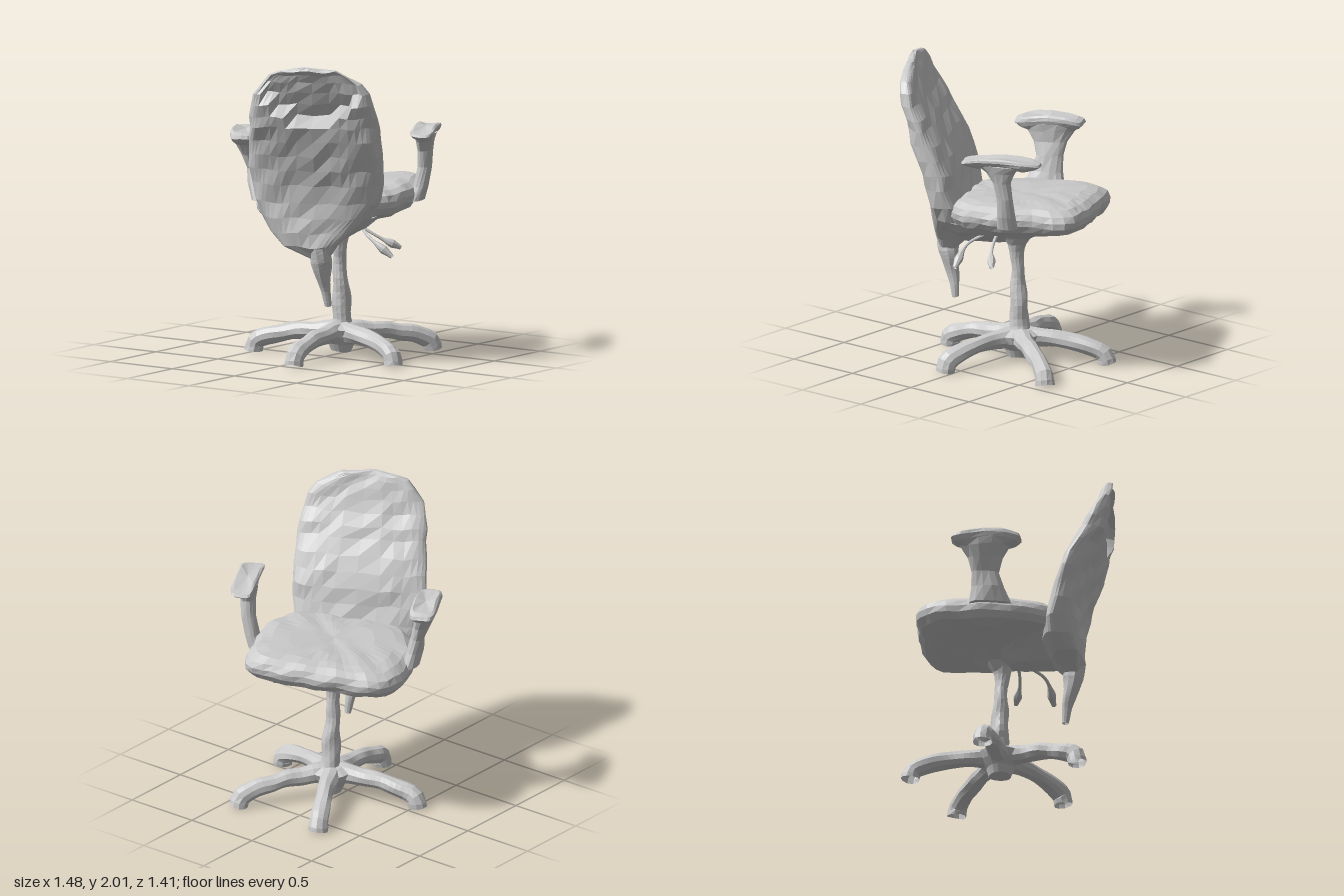
import * as THREE from 'three';

const mat = new THREE.MeshStandardMaterial({ color: 0xcccccc, flatShading: true, side: THREE.DoubleSide });
const V = (x, y, z) => new THREE.Vector3(x, y, z);
const { lerp } = THREE.MathUtils;
// The chair is swivelled: f runs forward and u across the chair
const place = (f, u, y) => V(0.88 * f + 0.47 * u, y, -0.47 * f + 0.88 * u);
const power = (v, e) => Math.sign(v) * Math.abs(v) ** e;

// Slight unevenness of the surfaces
function roughen(geo, amount) {
  const p = geo.attributes.position;
  for (let i = 0; i < p.count; i++) {
    const x = p.getX(i), y = p.getY(i), z = p.getZ(i);
    if (y < 0.01) continue;
    p.setXYZ(i, x + amount * Math.sin(31 * y + 23 * z), y + amount * Math.sin(27 * x + 19 * z), z + amount * Math.sin(29 * x + 25 * y));
  }
  geo.computeVertexNormals();
  return geo;
}

function add(group, name, geo, amount = 0.004) {
  const mesh = new THREE.Mesh(roughen(geo, amount), mat);
  mesh.name = name;
  group.add(mesh);
}

// Skin over closed rings listed from bottom to top, capped at both ends
function loft(rings) {
  const n = rings[0].length, pos = [], idx = [];
  rings.forEach(r => r.forEach(p => pos.push(p.x, p.y, p.z)));
  for (let i = 0; i < rings.length - 1; i++) {
    for (let j = 0; j < n; j++) {
      const a = i * n + j, b = i * n + (j + 1) % n;
      idx.push(a, a + n, b, b, a + n, b + n);
    }
  }
  [0, rings.length - 1].forEach(i => {
    const c = rings[i].reduce((s, p) => s.add(p), V(0, 0, 0)).divideScalar(n);
    const k = pos.length / 3;
    pos.push(c.x, c.y, c.z);
    for (let j = 0; j < n; j++) {
      const a = i * n + j, b = i * n + (j + 1) % n;
      if (i) idx.push(a, k, b); else idx.push(a, b, k);
    }
  });
  const geo = new THREE.BufferGeometry();
  geo.setAttribute('position', new THREE.Float32BufferAttribute(pos, 3));
  geo.setIndex(idx);
  return geo;
}

// Rounded ring: calls at(c, s) around a superellipse
const ring = (n, e, at) => Array.from({ length: n }, (_, j) => {
  const t = j / n * Math.PI * 2;
  return at(power(Math.cos(t), e), power(Math.sin(t), e));
});

// Tube along a path whose radius follows a list
function limb(points, radii, sides = 10, steps = 16) {
  const curve = new THREE.CatmullRomCurve3(points);
  const geo = new THREE.TubeGeometry(curve, steps, 1, sides);
  const p = geo.attributes.position, v = V(0, 0, 0);
  for (let i = 0; i <= steps; i++) {
    const c = curve.getPointAt(i / steps);
    const t = i / steps * (radii.length - 1), k = Math.min(Math.floor(t), radii.length - 2);
    const r = lerp(radii[k], radii[k + 1], t - k);
    for (let j = 0; j <= sides; j++) {
      const q = i * (sides + 1) + j;
      v.fromBufferAttribute(p, q).sub(c).multiplyScalar(r).add(c);
      p.setXYZ(q, v.x, Math.max(0, v.y), v.z);
    }
  }
  return geo;
}

function backrest() {
  // Each row: y, rear f, front f, rear half width, front half width, shift along u
  const keys = [
    [0.72, -0.45, -0.35, 0.07, 0.07, 0.02], [0.79, -0.48, -0.27, 0.18, 0.17, -0.04], [0.88, -0.48, -0.2, 0.26, 0.28, -0.04],
    [0.98, -0.48, -0.2, 0.32, 0.4, -0.01], [1.08, -0.48, -0.24, 0.35, 0.46, 0], [1.2, -0.5, -0.28, 0.37, 0.48, 0],
    [1.3, -0.53, -0.3, 0.37, 0.49, 0], [1.4, -0.56, -0.34, 0.38, 0.49, 0], [1.5, -0.595, -0.39, 0.38, 0.48, 0],
    [1.6, -0.63, -0.45, 0.38, 0.46, 0], [1.67, -0.65, -0.48, 0.38, 0.45, 0], [1.75, -0.67, -0.53, 0.37, 0.43, 0],
    [1.83, -0.685, -0.565, 0.36, 0.4, 0], [1.9, -0.69, -0.59, 0.32, 0.35, 0], [1.95, -0.685, -0.61, 0.26, 0.27, -0.01],
    [1.98, -0.675, -0.62, 0.19, 0.19, -0.02], [2.0, -0.66, -0.63, 0.1, 0.1, -0.02]];
  return loft(keys.map(([y, rear, front, wr, wf, shift]) => ring(36, 0.7, (c, s) => {
    const k = ((c < 0 ? power(c, 0.65) : c) + 1) / 2; // flatter rear than front
    const u = s * lerp(wr, wf, k) + shift;
    const hollow = y > 1.62 + 0.3 * s * s && y < 1.96 && c < -0.5; // open hollow in the upper rear
    const twist = y < 1.6 ? 0.07 * u * (1 - k) : 0;
    return place(hollow ? front - 0.03 : lerp(rear, front, k) - twist, u, y);
  })));
}

function seat() {
  const outline = new THREE.CatmullRomCurve3([
    [0.73, 0.22], [0.69, 0.31], [0.52, 0.39], [0.3, 0.5], [0.1, 0.54], [-0.1, 0.49], [-0.26, 0.22], [-0.39, -0.15],
    [-0.2, -0.41], [0, -0.52], [0.25, -0.595], [0.38, -0.55], [0.55, -0.25], [0.68, 0.02]
  ].map(([x, z]) => V(x, 0, z)), true).getSpacedPoints(48).slice(0, 48);
  // Each row: y, scale of the outline; the underside funnels into the column
  const rows = [[0.76, 0.08], [0.82, 0.15], [0.865, 0.32], [0.9, 0.58], [0.925, 0.8], [0.955, 0.93],
    [1.0, 0.99], [1.04, 1], [1.08, 0.97], [1.11, 0.88], [1.125, 0.75], [1.13, 0.5], [1.125, 0.2]];
  return loft(rows.map(([y, k]) => outline.map(p => {
    const x = 0.1 + (p.x - 0.1) * k, z = 0.04 + (p.z - 0.04) * k;
    return V(x, y + 0.045 * x + 0.055 * z, z);
  })));
}

// Arm pad: a thin slab drooping at its ends
function pad(x, y, z, length, width, thick) {
  const rows = [[-1, 0.6], [-0.4, 0.88], [0.2, 1], [0.7, 0.96], [1, 0.8]];
  return loft(rows.map(([h, k]) => ring(24, 0.45, (c, s) =>
    place(c * k * length / 2, s * k * width / 2, y + h * thick / 2 - 0.025 * c * c).add(V(x, 0, z)))));
}

// Arm post: oval sections, each row x, y, z, half depth along f, half width along u
const post = rows => loft(rows.map(([x, y, z, a, b]) => ring(14, 0.9, (c, s) => place(a * c, b * s, y).add(V(x, 0, z)))));

export function createModel() {
  const chair = new THREE.Group();
  chair.name = 'swivelChair';

  add(chair, 'seat', seat(), 0.005);
  add(chair, 'backrest', backrest(), 0.007);
  add(chair, 'backSpike', limb([V(-0.36, 0.8, 0.21), V(-0.345, 0.7, 0.22), V(-0.31, 0.55, 0.22), V(-0.275, 0.39, 0.225)],
    [0.07, 0.07, 0.05, 0.033, 0.022]), 0.003);

  // Bracket joining the backrest to the column under the seat
  const bracketRows = [[0.79, 0.18, 0.09], [0.84, 0.26, 0.17], [0.9, 0.3, 0.28], [0.97, 0.31, 0.36]];
  add(chair, 'bracket', loft(bracketRows.map(([y, a, b]) => ring(20, 0.9, (c, s) => place(a * c - 0.16, b * s + 0.04, y)))));

  // Armrests: the right post is a broad blade flaring into its pad
  const arms = [
    { name: 'leftArm', pad: [0.38, 1.505, 0.535, 0.53, 0.16, 0.06],
      rows: [[0.37, 1.03, 0.46, 0.07, 0.06], [0.38, 1.12, 0.49, 0.06, 0.05], [0.39, 1.25, 0.52, 0.055, 0.045],
        [0.38, 1.36, 0.53, 0.06, 0.05], [0.37, 1.43, 0.535, 0.1, 0.06], [0.37, 1.48, 0.54, 0.16, 0.07]] },
    { name: 'rightArm', pad: [-0.13, 1.445, -0.55, 0.46, 0.17, 0.09],
      rows: [[-0.1, 1.02, -0.45, 0.14, 0.06], [-0.1, 1.12, -0.48, 0.11, 0.05], [-0.1, 1.22, -0.505, 0.09, 0.045],
        [-0.11, 1.31, -0.53, 0.11, 0.055], [-0.12, 1.38, -0.545, 0.16, 0.07], [-0.125, 1.43, -0.55, 0.2, 0.08]] }];
  for (const arm of arms) {
    const g = new THREE.Group();
    g.name = arm.name;
    add(g, 'armPad', pad(...arm.pad));
    add(g, 'armPost', post(arm.rows));
    chair.add(g);
  }

  // Column and hub
  add(chair, 'column', limb([V(0.12, 0.15, 0.05), V(0.115, 0.35, 0.05), V(0.1, 0.6, 0.045), V(0.09, 0.88, 0.05)],
    [0.08, 0.062, 0.062, 0.055, 0.045, 0.042, 0.055, 0.12], 12));
  const hub = new THREE.LatheGeometry([[0, 0.02], [0.07, 0.03], [0.09, 0.08], [0.13, 0.13], [0.15, 0.18], [0.09, 0.215], [0, 0.24]]
    .map(([r, y]) => new THREE.Vector2(r, y)), 16);
  hub.translate(0.11, 0, 0.05);
  add(chair, 'hub', hub);

  // Five arched feet: angle and reach
  [[-30, 0.6], [33, 0.65], [106, 0.57], [177, 0.56], [252, 0.6]].forEach(([deg, reach]) => {
    const a = deg * Math.PI / 180;
    const at = (r, y) => V(0.1 + Math.cos(a) * r, y, 0.05 + Math.sin(a) * r);
    add(chair, 'foot', limb([at(0.03, 0.16), at(reach * 0.45, 0.15), at(reach * 0.8, 0.11), at(reach * 0.96, 0.065), at(reach * 0.99, 0)],
      [0.075, 0.06, 0.055, 0.058, 0.064], 10, 18));
  });

  // Adjustment levers with small paddles
  [[V(0.05, 0.9, 0.24), V(-0.04, 0.83, 0.38), V(-0.01, 0.71, 0.55)], [V(0.06, 0.89, 0.2), V(0.12, 0.81, 0.33), V(0.22, 0.73, 0.45)]].forEach(path =>
    add(chair, 'lever', limb(path, [0.014, 0.011, 0.01, 0.011, 0.03, 0.014], 8), 0.001));

  return chair;
}
